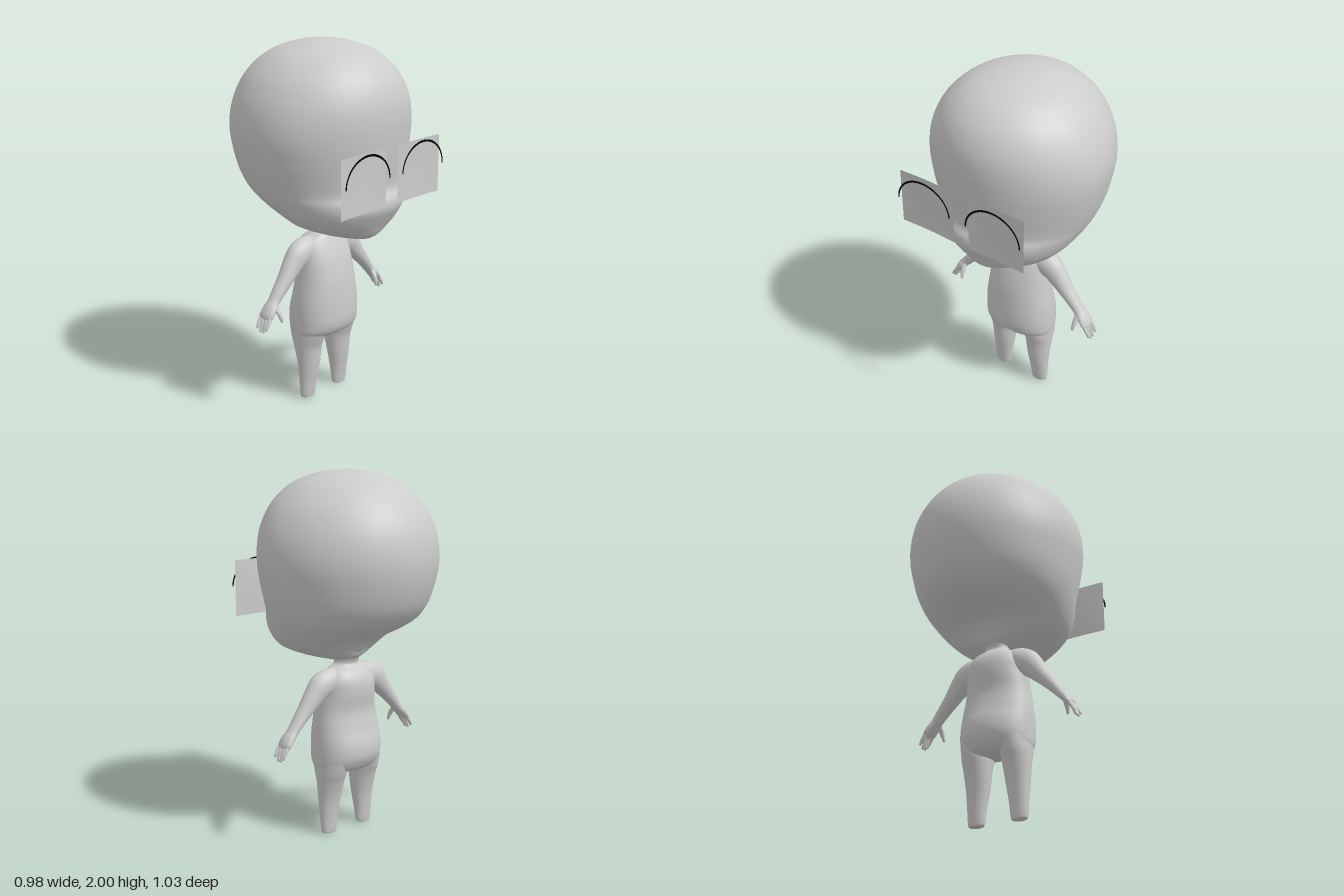
import * as THREE from 'three';

const skinMat = new THREE.MeshStandardMaterial({ color: 0xcccccc });
skinMat.name = 'paleGrey';
const plateMat = new THREE.MeshStandardMaterial({ color: 0xcccccc, side: THREE.DoubleSide });
plateMat.name = 'eyeGrey';
const lashMat = new THREE.MeshStandardMaterial({ color: 0x050505, side: THREE.DoubleSide });
lashMat.name = 'lashBlack';

// Smooth interpolation of every column of a table of rows, u in 0..1
function sample(rows, u) {
  const f = u * (rows.length - 1);
  const i = Math.min(Math.floor(f), rows.length - 2);
  const t = f - i;
  const at = (k) => rows[Math.max(0, Math.min(rows.length - 1, k))];
  return rows[i].map((b, c) => {
    const a = at(i - 1)[c], d = at(i + 1)[c], e = at(i + 2)[c];
    const m0 = (d - a) / 2, m1 = (e - b) / 2;
    return (2 * t ** 3 - 3 * t * t + 1) * b + (t ** 3 - 2 * t * t + t) * m0
      + (3 * t * t - 2 * t ** 3) * d + (t ** 3 - t * t) * m1;
  });
}

// Closed skin around a stack of rings; ring(u) returns a function of the angle
function skin(nu, nv, ring) {
  const pos = [], index = [];
  for (let i = 0; i <= nu; i++) {
    const point = ring(i / nu);
    for (let j = 0; j < nv; j++) pos.push(...point((j / nv) * Math.PI * 2));
  }
  for (let i = 0; i < nu; i++) {
    for (let j = 0; j < nv; j++) {
      const k = (j + 1) % nv;
      const a = i * nv + j, b = i * nv + k, c = a + nv, d = b + nv;
      index.push(a, b, c, b, d, c);
    }
  }
  const geo = new THREE.BufferGeometry();
  geo.setAttribute('position', new THREE.Float32BufferAttribute(pos, 3));
  geo.setIndex(index);
  geo.computeVertexNormals();
  return geo;
}

// Upright loft; rows go upward: [y, half width, z front, z back, z of widest point, x centre]
function loft(rows, nv, power = 2) {
  const round = (s) => Math.sign(s) * Math.abs(s) ** (2 / power);
  return skin((rows.length - 1) * 5, nv, (u) => {
    const [y, w, zf, zb, zc, cx] = sample(rows, u);
    return (a) => {
      const c = round(Math.cos(a)), s = round(Math.sin(a));
      return [cx + Math.max(w, 0) * s, y, zc + c * (c > 0 ? zf - zc : zc - zb)];
    };
  });
}

// Limb along a path; rows: [x, y, z, radius, radius across z]
function limb(rows, nv) {
  const axis = new THREE.Vector3(0, 0, 1);
  const centre = (u) => new THREE.Vector3(...sample(rows, u).slice(0, 3));
  return skin((rows.length - 1) * 5, nv, (u) => {
    const [x, y, z, r, rz] = sample(rows, u);
    const dir = centre(Math.min(1, u + 0.01)).sub(centre(Math.max(0, u - 0.01)));
    const n = axis.clone().cross(dir).normalize();
    return (a) => [
      x + n.x * r * Math.cos(a), y + n.y * r * Math.cos(a), z + rz * Math.sin(a),
    ];
  });
}

export function createModel() {
  const model = new THREE.Group();
  model.name = 'figure';
  const add = (name, geo, mat = skinMat, parent = model) => {
    const mesh = new THREE.Mesh(geo, mat);
    mesh.name = name;
    parent.add(mesh);
    return mesh;
  };

  // Large head with a small muzzle and an overhanging back
  add('head', loft([
    [0.962, 0, 0.18, 0.18, 0.18, 0],
    [0.964, 0.04, 0.27, 0.04, 0.17, 0],
    [0.975, 0.09, 0.325, -0.05, 0.16, 0],
    [1.0, 0.17, 0.36, -0.09, 0.15, 0],
    [1.05, 0.285, 0.39, -0.12, 0.13, 0],
    [1.1, 0.345, 0.42, -0.17, 0.1, 0],
    [1.15, 0.382, 0.445, -0.27, 0.06, 0],
    [1.2, 0.41, 0.445, -0.36, 0.03, 0],
    [1.25, 0.432, 0.42, -0.415, 0.01, 0],
    [1.32, 0.455, 0.422, -0.46, 0, 0],
    [1.42, 0.478, 0.435, -0.495, 0, 0],
    [1.52, 0.492, 0.445, -0.513, 0, 0],
    [1.62, 0.485, 0.45, -0.51, 0, 0],
    [1.72, 0.455, 0.44, -0.485, 0, 0],
    [1.82, 0.398, 0.4, -0.43, 0, 0],
    [1.9, 0.32, 0.33, -0.35, 0, 0],
    [1.95, 0.24, 0.25, -0.265, 0, 0],
    [1.985, 0.135, 0.14, -0.155, 0, 0],
    [1.997, 0.06, 0.06, -0.07, 0, 0],
    [2.0, 0, 0, 0, 0, 0],
  ], 64));

  // Torso with round belly and seat, narrowing into the neck
  add('torso', loft([
    [0.352, 0, -0.01, -0.01, -0.01, 0],
    [0.355, 0.12, 0.05, -0.08, -0.01, 0],
    [0.37, 0.185, 0.09, -0.12, -0.01, 0],
    [0.4, 0.204, 0.133, -0.145, 0, 0],
    [0.45, 0.207, 0.153, -0.165, 0, 0],
    [0.52, 0.206, 0.156, -0.163, 0, 0],
    [0.6, 0.2, 0.151, -0.14, 0, 0],
    [0.7, 0.185, 0.14, -0.122, 0, 0],
    [0.8, 0.172, 0.117, -0.134, 0, 0],
    [0.87, 0.163, 0.092, -0.13, -0.01, 0],
    [0.92, 0.135, 0.068, -0.105, -0.01, 0],
    [0.95, 0.08, 0.055, -0.07, -0.01, 0],
    [0.97, 0.066, 0.055, -0.068, -0.01, 0],
    [1.0, 0.07, 0.06, -0.085, -0.01, 0],
    [1.05, 0.085, 0.06, -0.125, -0.01, 0],
  ], 48, 2.25));

  for (const [side, s] of [['left', 1], ['right', -1]]) {
    const mirror = (rows) => rows.map(([x, ...rest]) => [x * s, ...rest]);

    // Tapering leg with a blunt foot
    add(side + 'Leg', loft([
      [0, 0, -0.005, -0.005, -0.005, 0.13 * s],
      [0.001, 0.038, 0.022, -0.03, -0.005, 0.13 * s],
      [0.02, 0.049, 0.028, -0.037, -0.005, 0.13 * s],
      [0.1, 0.056, 0.04, -0.045, -0.005, 0.128 * s],
      [0.2, 0.067, 0.057, -0.06, -0.005, 0.123 * s],
      [0.3, 0.077, 0.068, -0.088, -0.01, 0.121 * s],
      [0.36, 0.082, 0.088, -0.112, -0.01, 0.12 * s],
      [0.43, 0.083, 0.11, -0.13, -0.01, 0.118 * s],
    ], 32));

    // Arm flowing into a flat palm
    add(side + 'Arm', limb(mirror([
      [0.07, 0.88, -0.015, 0.055, 0.05],
      [0.13, 0.873, -0.015, 0.07, 0.062],
      [0.19, 0.85, -0.013, 0.073, 0.062],
      [0.24, 0.805, -0.012, 0.06, 0.053],
      [0.3, 0.738, -0.01, 0.043, 0.045],
      [0.35, 0.682, -0.01, 0.034, 0.039],
      [0.39, 0.635, -0.01, 0.028, 0.036],
      [0.425, 0.597, -0.008, 0.025, 0.046],
      [0.45, 0.562, -0.009, 0.017, 0.044],
      [0.456, 0.551, -0.009, 0, 0],
    ]), 24));

    // Four fingers and a thumb
    const hand = new THREE.Group();
    hand.name = side + 'Fingers';
    model.add(hand);
    [[0.026, 0.505], [0.004, 0.487], [-0.018, 0.487], [-0.041, 0.503]].forEach(([z, tip], i) => {
      add('finger' + (i + 1), limb(mirror([
        [0.435, 0.585, z * 0.8 - 0.002, 0.012, 0.011],
        [0.459, 0.55, z, 0.011, 0.0105],
        [0.475, tip + 0.02, z, 0.009, 0.009],
        [0.481, tip + 0.006, z, 0.0065, 0.0065],
        [0.483, tip, z, 0, 0],
      ]), 12), skinMat, hand);
    });
    add('thumb', limb(mirror([
      [0.4, 0.625, 0.012, 0.018, 0.016],
      [0.396, 0.59, 0.036, 0.015, 0.014],
      [0.393, 0.56, 0.05, 0.0105, 0.0105],
      [0.391, 0.542, 0.055, 0.007, 0.007],
      [0.39, 0.535, 0.057, 0, 0],
    ]), 12), skinMat, hand);

    // Slightly dished eye plate floating before the face
    const cx = s > 0 ? 0.202 : -0.238;
    const plate = new THREE.PlaneGeometry(0.345, 0.31, 12, 12);
    const p = plate.attributes.position;
    for (let i = 0; i < p.count; i++) {
      const a = p.getX(i) / 0.1725, b = p.getY(i) / 0.155;
      p.setZ(i, -0.009 * (1 - a * a) * (1 - 0.4 * b * b));
    }
    plate.computeVertexNormals();
    add(side + 'EyePlate', plate, plateMat).position.set(cx, 1.345, 0.485);

    // Thin arched lash line
    const arch = new THREE.Shape();
    arch.absellipse(0, 0, 0.172, 0.152, 0, Math.PI, false);
    arch.absellipse(0, 0, 0.163, 0.14, Math.PI, 0, true);
    add(side + 'Lash', new THREE.ShapeGeometry(arch, 32), lashMat).position.set(cx, 1.35, 0.514);
  }

  return model;
}
